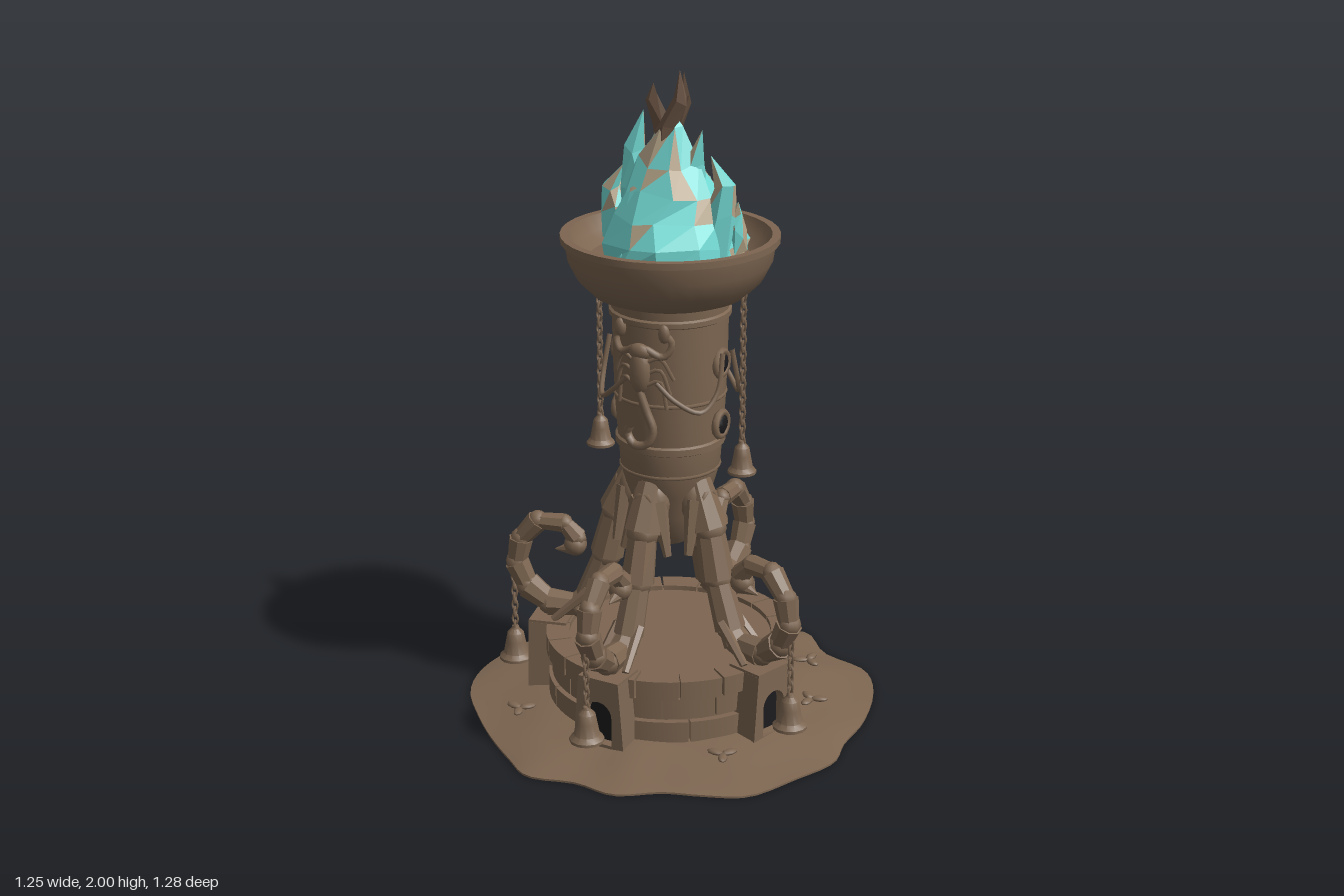
import * as THREE from 'three';
import { toCreasedNormals, mergeGeometries } from 'three/addons/utils/BufferGeometryUtils.js';

const V = (x, y, z) => new THREE.Vector3(x, y, z);
const mat = (name, color, flat = false) => {
  const m = new THREE.MeshStandardMaterial({ color, flatShading: flat });
  m.name = name;
  return m;
};
const stone = mat('brown stone', 0x7d6651);
const hollow = mat('black hollow', 0x1b1a1c);
const cyan = mat('cyan flame', 0x74dcd6);
const beige = mat('pale flame', 0xb5a488);
const ember = mat('brown flame tip', 0x6b5444);

let seed = 7;
const rnd = () => (seed = (seed * 16807) % 2147483647) / 2147483647;

function add(parent, name, geo, material = stone, pos) {
  const m = new THREE.Mesh(geo, material);
  m.name = name;
  if (pos) m.position.copy(pos);
  parent.add(m);
  return m;
}
const crease = (g, a = 0.6) => toCreasedNormals(g, a);
const lathe = (pts, n = 28) =>
  crease(new THREE.LatheGeometry(pts.map(p => new THREE.Vector2(p[0], p[1])), n));
const tube = (pts, r, n = 12, sides = 6) =>
  new THREE.TubeGeometry(new THREE.CatmullRomCurve3(pts), n, r, sides);

// triangles (flat list of points) between closed rows, bottom to top
function skin(rows) {
  const out = [];
  for (let i = 0; i < rows.length - 1; i++) {
    const n = rows[i].length;
    for (let j = 0; j < n; j++) {
      const k = (j + 1) % n, a = rows[i][j], b = rows[i][k], c = rows[i + 1][k], d = rows[i + 1][j];
      out.push(a, d, b, b, d, c);
    }
  }
  return out;
}
const fromPoints = pts => {
  const g = new THREE.BufferGeometry().setFromPoints(pts);
  g.computeVertexNormals();
  return g;
};

// tapered faceted segment from a to b
function segment(a, b, r0, r1, sides = 8) {
  const d = b.clone().sub(a);
  const g = new THREE.CylinderGeometry(r1, r0, d.length(), sides);
  g.applyQuaternion(new THREE.Quaternion().setFromUnitVectors(V(0, 1, 0), d.normalize()));
  const mid = a.clone().add(b).multiplyScalar(0.5);
  return crease(g.translate(mid.x, mid.y, mid.z), 0.4);
}

// chain of links with a bell at its end
function bellChain(parent, top, bottom, bellR, bellH) {
  const g = new THREE.Group();
  g.name = 'bellChain';
  const links = [], n = Math.round((top.y - bottom) / 0.023);
  for (let i = 0; i <= n; i++) {
    const t = new THREE.TorusGeometry(0.011, 0.0045, 5, 8).scale(0.8, 1.4, 1).rotateY(i % 2 * Math.PI / 2);
    links.push(t.translate(0, bottom + (top.y - bottom) * i / n, 0));
  }
  add(g, 'chain', mergeGeometries(links));
  const b = add(g, 'bell', lathe([[0, 0.01], [0.82, 0.01], [1, 0], [1, 0.08], [0.75, 0.2], [0.6, 0.55],
    [0.5, 0.8], [0.25, 0.92], [0.2, 1], [0, 1]].map(p => [p[0] * bellR, p[1] * bellH]), 12));
  b.position.y = bottom - bellH;
  add(g, 'clapper', new THREE.SphereGeometry(bellR * 0.3, 8, 6), stone, V(0, bottom - bellH, 0));
  g.position.set(top.x, 0, top.z);
  parent.add(g);
}

// dark eye socket with raised rim, facing +z
function socket(parent, r, pos, turn) {
  const g = new THREE.Group();
  g.name = 'socket';
  add(g, 'rim', new THREE.TorusGeometry(r, r * 0.32, 6, 12));
  add(g, 'hollow', new THREE.SphereGeometry(r, 10, 6).scale(0.95, 0.95, 0.4), hollow);
  g.position.copy(pos);
  g.rotation.y = turn;
  parent.add(g);
}

// sandy mound: outline as [degrees, radius]
function mound(root) {
  const edge = [[0, .6], [11, .635], [25, .63], [41, .655], [52, .62], [63, .595], [76, .63], [88, .605],
    [101, .65], [111, .62], [124, .6], [139, .6], [156, .63], [171, .635], [190, .62], [205, .615], [217, .63],
    [228, .655], [242, .6], [255, .645], [263, .65], [275, .605], [284, .655], [298, .595], [313, .65], [326, .64], [346, .61]];
  const line = new THREE.CatmullRomCurve3(edge.map(([a, r]) =>
    V(r * Math.cos(a * Math.PI / 180), 0, r * Math.sin(a * Math.PI / 180))), true).getPoints(96).slice(0, 96);
  const rows = [[0, 0], [1, 0], [1, .006], [.92, .017], [.8, .03], [.68, .045], [.55, .055], [0, .055]].map(([t, y]) =>
    line.map((p, j) => V(p.x * t, y + (t > .6 && t < .95 ? .005 * Math.sin(j * .39 + t * 9) : 0), p.z * t)));
  add(root, 'mound', crease(fromPoints(skin(rows)), 0.5));
  // small three-lobed plants
  for (const [x, z] of [[-.32, -.35], [.29, -.38], [.42, -.14], [-.33, .35], [.35, .31]])
    for (let k = 0; k < 3; k++) {
      const a = k * 2.1 + x * 9;
      add(root, 'leaf', new THREE.SphereGeometry(0.024, 8, 5).scale(1.1, .35, .6).rotateY(-a), stone,
        V(x + .025 * Math.cos(a), .048, z + .025 * Math.sin(a)));
    }
}

// ring of separate stones
function course(parent, name, r0, r1, y, h, n, off) {
  const list = [];
  for (let i = 0; i < n; i++) {
    const a = (i + off) / n * Math.PI * 2, b = a + Math.PI * 2 / n - 0.018;
    const s = new THREE.Shape();
    s.absarc(0, 0, r1, a, b, false);
    s.absarc(0, 0, r0, b, a, true);
    list.push(new THREE.ExtrudeGeometry(s, { depth: h, bevelEnabled: false, curveSegments: 5 })
      .rotateX(-Math.PI / 2).translate(0, y, 0));
  }
  add(parent, name, crease(mergeGeometries(list)));
}

// arched pier and scorpion-tail leg, built facing +z then turned
function legUnit(root, turn, bell) {
  const g = new THREE.Group();
  g.name = 'leg';
  g.rotation.y = turn;
  root.add(g);
  const s = new THREE.Shape([[-.085, 0], [.085, 0], [.068, .21], [-.068, .21]].map(p => new THREE.Vector2(...p)));
  const hole = new THREE.Path();
  hole.moveTo(-.045, .01).lineTo(-.045, .1).absarc(0, .1, .045, Math.PI, 0, true).lineTo(.045, .01);
  s.holes.push(hole);
  add(g, 'archPier', crease(new THREE.ExtrudeGeometry(s, { depth: .1, bevelEnabled: false })), stone, V(0, .04, .335));
  add(g, 'archHollow', new THREE.BoxGeometry(.1, .16, .008), hollow, V(0, .12, .4));
  add(g, 'pierCap', new THREE.BoxGeometry(.135, .022, .12), stone, V(0, .247, .375));
  // leg joints as [radius, height, thickness]
  const path = [[.11, .77, .05], [.165, .63, .052], [.2, .48, .047], [.255, .33, .042], [.285, .295, .04],
    [.385, .295, .04], [.455, .345, .04], [.49, .42, .036], [.475, .5, .034], [.42, .565, .032],
    [.335, .565, .028], [.295, .52, .03]];
  for (let i = 0; i < path.length - 1; i++) {
    const [ra, ya, ta] = path[i], [rb, yb, tb] = path[i + 1];
    add(g, 'legSegment', segment(V(0, ya, ra), V(0, yb, rb), ta * .85, tb * 1.12));
    add(g, 'joint', new THREE.SphereGeometry(tb, 8, 6), stone, V(0, yb, rb));
  }
  add(g, 'stingerBulb', new THREE.SphereGeometry(.036, 10, 8), stone, V(0, .498, .3));
  add(g, 'stinger', segment(V(0, .485, .305), V(0, .475, .365), .026, .002));
  // claws flanking the leg top
  for (const sx of [-1, 1]) {
    add(g, 'sideClaw', segment(V(sx * .03, .72, .13), V(sx * .075, .56, .15), .03, .012, 6));
    add(g, 'kneeSpur', segment(V(sx * .035, .36, .25), V(sx * .05, .26, .36), .018, .012, 6));
  }
  add(g, 'shoulder', new THREE.SphereGeometry(.062, 10, 8).scale(1, 1.25, .8), stone, V(0, .71, .115));
  socket(g, .026, V(0, .72, .16), 0);
  if (bell) bellChain(g, V(0, .46, .5), .2, .052, .11);
}

// relief scorpion wrapped on the column
function scorpion(root, turn) {
  const g = new THREE.Group();
  g.name = 'scorpionRelief';
  g.rotation.y = turn;
  root.add(g);
  const on = (u, y, o = .008) => V(Math.sin(u / .175) * (.173 + o), y, Math.cos(u / .175) * (.173 + o));
  add(g, 'abdomen', new THREE.SphereGeometry(.04, 10, 8).scale(.85, 1.7, .6), stone, on(0, 1.14));
  add(g, 'head', new THREE.SphereGeometry(.032, 10, 8).scale(1.1, .8, .6), stone, on(0, 1.2));
  add(g, 'tail', tube([on(0, 1.08, .012), on(.02, 1.02), on(.04, .96), on(.02, .915), on(-.02, .91), on(-.045, .94), on(-.035, .965)], .013, 20));
  for (const s of [-1, 1]) {
    add(g, 'claw', tube([on(s * .02, 1.21), on(s * .07, 1.19), on(s * .095, 1.23), on(s * .07, 1.265)], .011));
    add(g, 'pincer', new THREE.SphereGeometry(.024, 8, 6).scale(.8, 1.2, .6), stone, on(s * .072, 1.26));
    for (let i = 0; i < 3; i++) {
      const y = 1.17 - i * .035;
      add(g, 'relievedLeg', tube([on(s * .02, y), on(s * .06, y + .015), on(s * (.1 - i * .01), y - .05 - i * .01)], .006, 8, 5));
    }
    add(g, 'garland', tube([on(s * .25, 1.18, .02), on(s * .22, 1.07, .03), on(s * .17, 1.02, .03), on(s * .1, 1.06, .02), on(s * .05, 1.11)], .008, 20, 5));
  }
}

function flame(root) {
  const bins = [[], [], []];
  // rows: [x, y, z, rx, rz]; pick chooses the colour of each facet
  const loft = (rows, n, jitter, pick) => {
    const pts = skin(rows.map(([x, y, z, rx, rz]) => Array.from({ length: n }, (_, j) => {
      const a = (j + rnd() * .5) / n * Math.PI * 2, k = 1 + (rnd() - .5) * jitter;
      return V(x + Math.cos(a) * rx * k, y + (rx > .01 ? (rnd() - .5) * .03 : 0), z + Math.sin(a) * rz * k);
    })));
    for (let i = 0; i < pts.length; i += 3) bins[pick(pts[i].y)].push(pts[i], pts[i + 1], pts[i + 2]);
  };
  const mixed = y => (rnd() < (y < 1.52 ? .12 : .42) ? 1 : 0);
  loft([[0, 1.43, 0, .2, .2], [.005, 1.5, 0, .215, .2], [0, 1.57, 0, .18, .155], [.01, 1.65, 0, .14, .115],
    [0, 1.73, 0, .09, .075], [0, 1.82, 0, .04, .04], [0, 1.88, 0, 0, 0]], 11, .2, mixed);
  // outer tongues: base, bend and tip
  const tongues = [[-.17, -.2, -.155, 1.7, 0, .05], [-.08, -.11, -.085, 1.87, .01, .06], [.08, .075, .105, 1.83, 0, .06],
    [.15, .185, .135, 1.76, .01, .06], [-.04, -.06, -.03, 1.74, .09, .055], [.05, .06, .03, 1.74, -.09, .055],
    [.19, .2, .215, 1.63, -.03, .04]];
  for (const [bx, mx, tx, ty, z, r] of tongues)
    loft([[bx, 1.47, z * 1.4, r, r], [(bx + mx) / 2, 1.47 + (ty - 1.47) * .4, z, r * .95, r * .8],
      [mx, 1.47 + (ty - 1.47) * .7, z * .8, r * .6, r * .5], [tx, ty, z * .5, 0, 0]], 6, .2, mixed);
  // dark wisps at the crown
  for (const [tx, ty, z] of [[.04, 2, .02], [.035, 1.99, -.02], [-.055, 1.95, 0]])
    loft([[0, 1.74, z, .04, .03], [tx * .2 - .01, 1.83, z, .035, .025], [tx * 1.1, 1.91, z, .02, .014], [tx, ty, z * .8, 0, 0]], 5, .1, () => 2);
  ['flameCyan', 'flamePale', 'flameWisps'].forEach((n, i) => add(root, n, fromPoints(bins[i]), [cyan, beige, ember][i]));
}

export function createModel() {
  seed = 7;
  const root = new THREE.Group();
  root.name = 'brazier';
  mound(root);
  // round dais
  add(root, 'daisCore', new THREE.CylinderGeometry(.35, .36, .2, 40), stone, V(0, .135, 0));
  course(root, 'lowerCourse', .3, .375, .04, .075, 14, 0);
  course(root, 'middleCourse', .3, .365, .122, .062, 14, .5);
  course(root, 'upperCourse', .31, .382, .19, .06, 18, .2);
  // column with bands
  add(root, 'column', lathe([[0, .54], [.05, .55], [.085, .6], [.1, .65], [.13, .73], [.15, .8], [.155, .87], [.165, .875],
    [.165, .895], [.158, .9], [.165, 1], [.17, 1.12], [.173, 1.27], [.182, 1.275], [.182, 1.29], [.175, 1.295], [.178, 1.35]]));
  for (const y of [.8, 1.03, 1.2])
    add(root, 'seam', new THREE.TorusGeometry(y < .9 ? .148 : .165, .006, 5, 28).rotateX(Math.PI / 2), stone, V(0, y, 0));
  // fire bowl
  add(root, 'bowl', lathe([[0, 1.325], [.19, 1.325], [.23, 1.34], [.275, 1.385], [.302, 1.44], [.31, 1.49], [.322, 1.493],
    [.322, 1.513], [.298, 1.513], [.28, 1.47], [.24, 1.44], [0, 1.43]], 36));
  // legs: front, back and two swept slightly forward
  legUnit(root, 0, true);
  legUnit(root, Math.PI, false);
  for (const s of [-1, 1]) {
    legUnit(root, s * 1.3, true);
    bellChain(root, V(s * .243, 1.36, 0), .91, .043, .1);
    for (const y of [1.14, .95]) socket(root, .036, V(s * .172, y, 0), s * Math.PI / 2);
  }
  scorpion(root, 0);
  scorpion(root, Math.PI);
  flame(root);
  return root;
}
